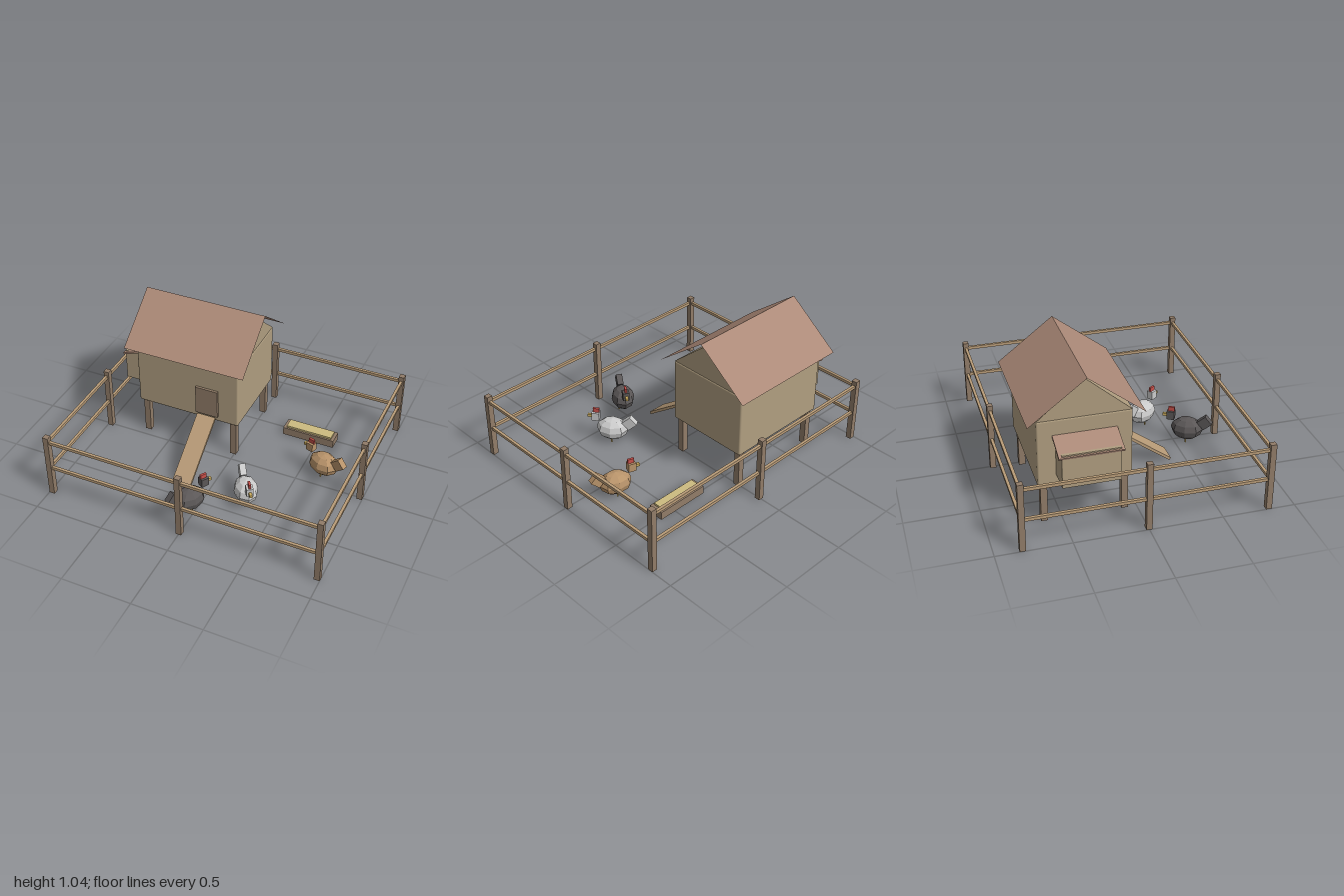
import * as THREE from 'three';
import { RoundedBoxGeometry } from 'three/addons/geometries/RoundedBoxGeometry.js';

const mat = (color, extra = {}) => new THREE.MeshStandardMaterial({ color, flatShading: true, ...extra });
const WOOD = mat(0x917c68), WALL = mat(0xb09e80), PLANK = mat(0xb99c78), FEED = mat(0xcdbb80);
const ROOF = mat(0xac8a78, { side: THREE.DoubleSide });
const RED = mat(0xc8504a), YELLOW = mat(0xd0b060);

function add(parent, name, geometry, material, x = 0, y = 0, z = 0) {
  const mesh = new THREE.Mesh(geometry, material);
  mesh.name = name;
  mesh.position.set(x, y, z);
  parent.add(mesh);
  return mesh;
}
const box = (parent, name, material, size, pos) =>
  add(parent, name, new THREE.BoxGeometry(...size), material, ...pos);

function group(parent, name) {
  const g = new THREE.Group();
  g.name = name;
  parent.add(g);
  return g;
}

// Posts at the corners and mid-sides, joined by two rails per side
function buildFence(parent) {
  const fence = group(parent, 'fence');
  const X = 0.98, Z = 0.82;
  for (const i of [-1, 0, 1]) for (const j of [-1, 0, 1]) {
    if (i || j) box(fence, 'fencePost', WOOD, [0.04, 0.49, 0.04], [i * X, 0.245, j * Z]);
  }
  for (const y of [0.225, 0.445]) for (const s of [-1, 1]) {
    box(fence, 'fenceRail', PLANK, [2 * X, 0.022, 0.02], [0, y, s * Z]);
    box(fence, 'fenceRail', PLANK, [0.02, 0.022, 2 * Z], [s * X, y, 0]);
  }
}

function buildCoop(parent) {
  const coop = group(parent, 'coop');
  coop.position.set(-0.355, 0, -0.35);
  for (const i of [-1, 1]) for (const j of [-1, 1]) {
    box(coop, 'coopLeg', WOOD, [0.045, 0.29, 0.045], [i * 0.345, 0.145, j * 0.268]);
  }
  add(coop, 'coopBody', new RoundedBoxGeometry(0.78, 0.47, 0.62, 2, 0.012),
    new THREE.MeshStandardMaterial({ color: 0xb09e80 }), 0, 0.515, 0);

  // Gable prism running along x
  const triangle = new THREE.Shape([[-0.31, 0], [0.31, 0], [0, 0.265]].map(p => new THREE.Vector2(...p)));
  const prism = new THREE.ExtrudeGeometry(triangle, { depth: 0.77, bevelEnabled: false });
  prism.translate(0, 0, -0.385).rotateY(Math.PI / 2);
  add(coop, 'gable', prism, WALL, 0, 0.747, 0);

  // Thin roof slopes meeting at the ridge
  const run = 0.377, rise = 0.29;
  for (const s of [-1, 1]) {
    const slope = add(coop, 'roofSlope', new THREE.PlaneGeometry(0.91, Math.hypot(run, rise)), ROOF,
      0, 0.755 + rise / 2, s * run / 2);
    slope.rotation.set(-s * Math.atan2(run, rise), s < 0 ? Math.PI : 0, 0);
  }

  // Nest box with a sloping lid
  box(coop, 'nestBox', WALL, [0.18, 0.235, 0.38], [-0.465, 0.473, 0]);
  const lid = box(coop, 'nestBoxLid', ROOF, [0.2, 0.015, 0.42], [-0.468, 0.606, 0]);
  lid.rotation.z = 0.36;

  // Door and ramp
  box(coop, 'door', WOOD, [0.17, 0.22, 0.02], [0.155, 0.435, 0.318]);
  const ramp = box(coop, 'ramp', PLANK, [0.14, 0.02, 0.51], [0.155, 0.165, 0.532]);
  ramp.rotation.x = 0.634;
}

function buildTrough(parent) {
  const trough = group(parent, 'feedTrough');
  trough.position.set(0.43, 0, -0.473);
  box(trough, 'troughBox', WOOD, [0.39, 0.06, 0.107], [0, 0.03, 0]);
  box(trough, 'feed', FEED, [0.345, 0.03, 0.08], [0, 0.06, 0]);
}

// Hen facing local +z, turned about y
function buildHen(parent, name, color, x, z, turn) {
  const hen = group(parent, name);
  hen.position.set(x, 0, z);
  hen.rotation.y = turn;
  const feathers = mat(color);
  const body = new THREE.SphereGeometry(1, 8, 6).scale(0.085, 0.083, 0.116);
  add(hen, 'henBody', body, feathers, 0, 0.103, 0);
  box(hen, 'henHead', feathers, [0.048, 0.062, 0.055], [0, 0.197, 0.118]);
  box(hen, 'comb', RED, [0.016, 0.032, 0.045], [0, 0.244, 0.115]);
  box(hen, 'beak', YELLOW, [0.02, 0.02, 0.034], [0, 0.194, 0.16]);
  const tail = box(hen, 'tail', feathers, [0.045, 0.074, 0.08], [0, 0.166, -0.128]);
  tail.rotation.x = 0.72;
  for (const s of [-1, 1]) {
    add(hen, 'henLeg', new THREE.CylinderGeometry(0.006, 0.006, 0.05, 5), YELLOW, s * 0.03, 0.025, 0);
  }
}

export function createModel() {
  const model = new THREE.Group();
  model.name = 'chickenYard';
  buildFence(model);
  buildCoop(model);
  buildTrough(model);
  buildHen(model, 'darkHen', 0x5b5757, -0.04, 0.59, 2.61);
  buildHen(model, 'whiteHen', 0xe0e0de, 0.273, 0.352, 0.61);
  buildHen(model, 'brownHen', 0xb8936a, 0.663, -0.12, -1.884);
  return model;
}
